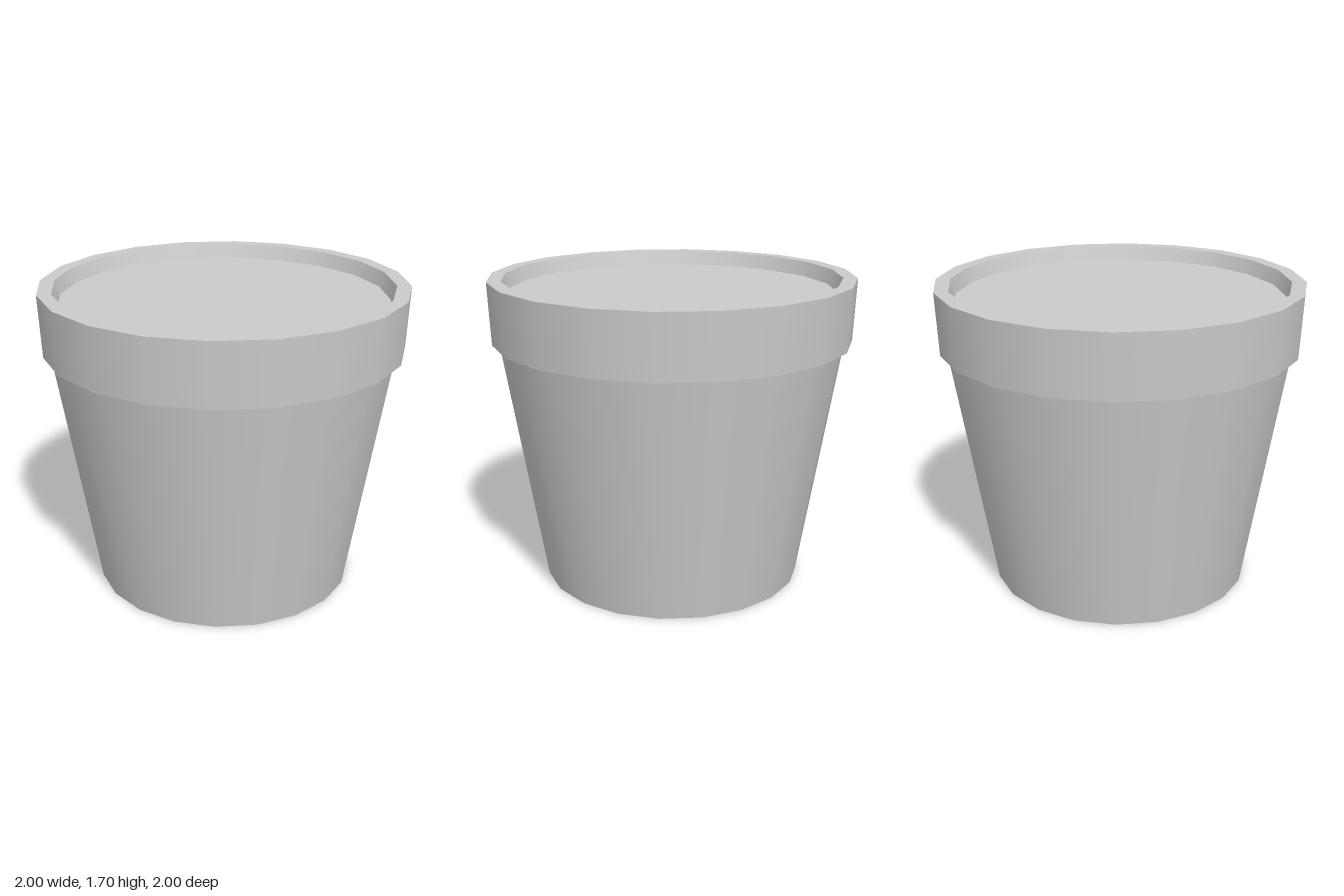
import * as THREE from 'three';
import { mergeGeometries } from 'three/addons/utils/BufferGeometryUtils.js';

const SIDES = 20;

// Lathe each profile step as its own band: smooth around, sharp between bands.
function turned(name, profile, material) {
  const bands = [];
  for (let i = 0; i < profile.length - 1; i++) {
    const pair = [profile[i], profile[i + 1]].map(([r, y]) => new THREE.Vector2(r, y));
    bands.push(new THREE.LatheGeometry(pair, SIDES));
  }
  const mesh = new THREE.Mesh(mergeGeometries(bands), material);
  mesh.name = name;
  return mesh;
}

export function createModel() {
  const model = new THREE.Group();
  model.name = 'flowerPot';
  const material = new THREE.MeshStandardMaterial({ color: 0xcccccc });

  // Base and tapered wall
  model.add(turned('body', [[0, 0], [0.725, 0], [0.945, 1.355]], material));

  // Thick collar: underside lip, outer band, top edge, inner wall
  model.add(turned('rim', [
    [0.945, 1.355], [0.985, 1.355], [1, 1.695], [0.922, 1.695], [0.895, 1.615],
  ], material));

  // Flat fill just below the top edge
  model.add(turned('soil', [[0.895, 1.615], [0, 1.615]], material));

  return model;
}
